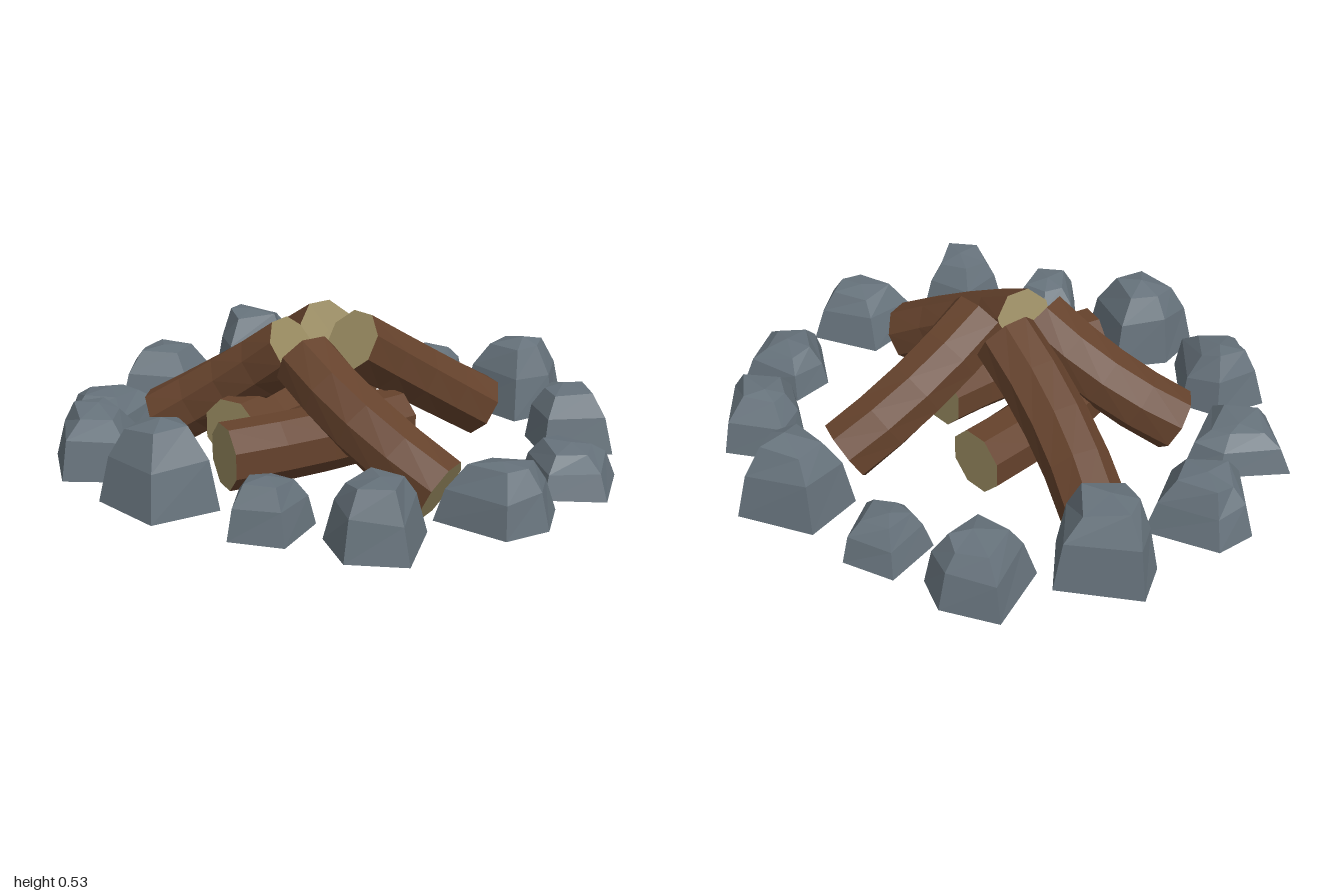
import * as THREE from 'three';

const material = (name, color) => Object.assign(new THREE.MeshStandardMaterial({ color }), { name });

// Faceted geometry from points taken three at a time
function facets(points) {
  const g = new THREE.BufferGeometry().setFromPoints(points);
  g.computeVertexNormals();
  return g;
}

// Side faces joining rings that run counter-clockwise about their axis
function skin(rings) {
  const out = [];
  for (let i = 0; i < rings.length - 1; i++) {
    const lo = rings[i], hi = rings[i + 1];
    lo.forEach((a, j) => {
      const k = (j + 1) % lo.length;
      out.push(a, lo[k], hi[k], a, hi[k], hi[j]);
    });
  }
  return out;
}

// Fan from a centre point to a ring
function fan(center, ring, flip = false) {
  return ring.flatMap((p, j) => {
    const q = ring[(j + 1) % ring.length];
    return flip ? [center, q, p] : [center, p, q];
  });
}

let seed = 7;
const jitter = (amount) => {
  seed = (seed * 16807) % 2147483647;
  return (seed / 2147483647 - 0.5) * 2 * amount;
};

const GROUND = 0.06;

// Top height, then the five ground corners as x, z pairs
const STONES = [
  [0.27, -0.55, -0.84, -0.36, -0.89, -0.25, -0.81, -0.29, -0.56, -0.52, -0.59],
  [0.21, -0.17, -0.86, 0.01, -0.88, 0.08, -0.68, -0.05, -0.62, -0.18, -0.66],
  [0.33, 0.17, -0.83, 0.43, -0.89, 0.48, -0.72, 0.41, -0.56, 0.16, -0.62],
  [0.265, 0.48, -0.58, 0.69, -0.66, 0.84, -0.46, 0.65, -0.32, 0.51, -0.45],
  [0.2, 0.68, -0.29, 0.92, -0.3, 1, -0.07, 0.83, 0.03, 0.66, -0.14],
  [0.25, 0.64, 0.12, 0.89, 0.07, 0.95, 0.23, 0.88, 0.37, 0.62, 0.36],
  [0.275, 0.44, 0.45, 0.65, 0.44, 0.74, 0.68, 0.57, 0.77, 0.42, 0.66],
  [0.23, 0.18, 0.57, 0.34, 0.58, 0.37, 0.78, 0.2, 0.84, 0.09, 0.67],
  [0.34, -0.17, 0.52, 0.04, 0.67, -0.06, 0.88, -0.32, 0.83, -0.31, 0.65],
  [0.27, -0.62, 0.45, -0.48, 0.44, -0.34, 0.66, -0.53, 0.78, -0.72, 0.61],
  [0.2, -0.78, 0.14, -0.65, 0.14, -0.6, 0.41, -0.81, 0.48, -0.97, 0.29],
  [0.255, -0.95, -0.2, -0.7, -0.24, -0.66, -0.02, -0.88, 0.11, -1, -0.07],
  [0.34, -0.86, -0.52, -0.6, -0.63, -0.49, -0.43, -0.67, -0.25, -0.82, -0.37],
];

// Chipped stone: ground outline shrinking over a shoulder to a blunt peak
function makeStone([top, ...xz], mat) {
  const base = [];
  for (let i = xz.length - 2; i >= 0; i -= 2) base.push(new THREE.Vector3(xz[i], GROUND, xz[i + 1]));
  const center = base.reduce((sum, p) => sum.add(p), new THREE.Vector3()).divideScalar(base.length);
  const h = top - GROUND;
  const ringAt = (scale, level) => base.map((p) => {
    const q = center.clone().lerp(p, scale + jitter(0.05));
    q.y = GROUND + h * (level + jitter(0.06));
    return q;
  });
  const rings = [base, ringAt(0.82, 0.58), ringAt(0.52, 0.92)];
  const peak = center.clone().add(new THREE.Vector3(jitter(0.02), h, jitter(0.02)));
  const mesh = new THREE.Mesh(
    facets([...skin(rings), ...fan(peak, rings[2]), ...fan(center, base, true)]), mat);
  mesh.name = 'stone';
  return mesh;
}

// Start, middle and end of each log's bent axis
const LOGS = {
  groundLogBack: [[-0.125, 0.163, -0.34], [-0.185, 0.163, -0.02], [-0.2, 0.163, 0.31]],
  groundLogFront: [[-0.07, 0.163, 0.51], [0.085, 0.163, 0.2], [0.19, 0.163, -0.1]],
  leaningLogLeft: [[0, 0.4, 0.155], [0.28, 0.257, 0.23], [0.575, 0.105, 0.24]],
  leaningLogFrontRight: [[-0.06, 0.44, 0.14], [-0.305, 0.275, 0.175], [-0.54, 0.125, 0.27]],
  leaningLogBackRight: [[-0.045, 0.455, -0.04], [-0.315, 0.285, -0.15], [-0.55, 0.125, -0.3]],
  leaningLogBack: [[0.09, 0.455, 0.02], [0.175, 0.285, -0.25], [0.3, 0.125, -0.49]],
};

// Bent eight-sided log with cut wood at both ends
function makeLog(name, path, bark, wood) {
  const [a, m, b] = path.map((p) => new THREE.Vector3(...p));
  const control = m.clone().multiplyScalar(2).sub(a.clone().add(b).multiplyScalar(0.5));
  const curve = new THREE.QuadraticBezierCurve3(a, control, b);
  const sides = 8, steps = 4, radius = 0.112, up = new THREE.Vector3(0, 1, 0);
  const rings = [];
  for (let i = 0; i <= steps; i++) {
    const p = curve.getPoint(i / steps), t = curve.getTangent(i / steps);
    const s = t.clone().cross(up).normalize(), u = t.clone().cross(s);
    rings.push(Array.from({ length: sides }, (_, j) => {
      const angle = ((j + 0.5) / sides) * Math.PI * 2;
      return p.clone().addScaledVector(s, Math.cos(angle) * radius)
        .addScaledVector(u, Math.sin(angle) * radius);
    }));
  }
  const barkMesh = new THREE.Mesh(facets(skin(rings)), bark);
  barkMesh.name = 'bark';
  const ends = new THREE.Mesh(facets([...fan(a, rings[0], true), ...fan(b, rings[steps])]), wood);
  ends.name = 'cutEnds';
  const log = new THREE.Group().add(barkMesh, ends);
  log.name = name;
  return log;
}

export function createModel() {
  const stoneMat = material('stone grey', 0x66727b);
  const barkMat = material('bark brown', 0x65422c);
  const woodMat = material('cut wood tan', 0x988a60);

  const ring = new THREE.Group();
  ring.name = 'stoneRing';
  STONES.forEach((s) => ring.add(makeStone(s, stoneMat)));

  const pile = new THREE.Group();
  pile.name = 'logPile';
  for (const [name, path] of Object.entries(LOGS)) pile.add(makeLog(name, path, barkMat, woodMat));

  const model = new THREE.Group().add(ring, pile);
  model.name = 'campfire';
  return model;
}
